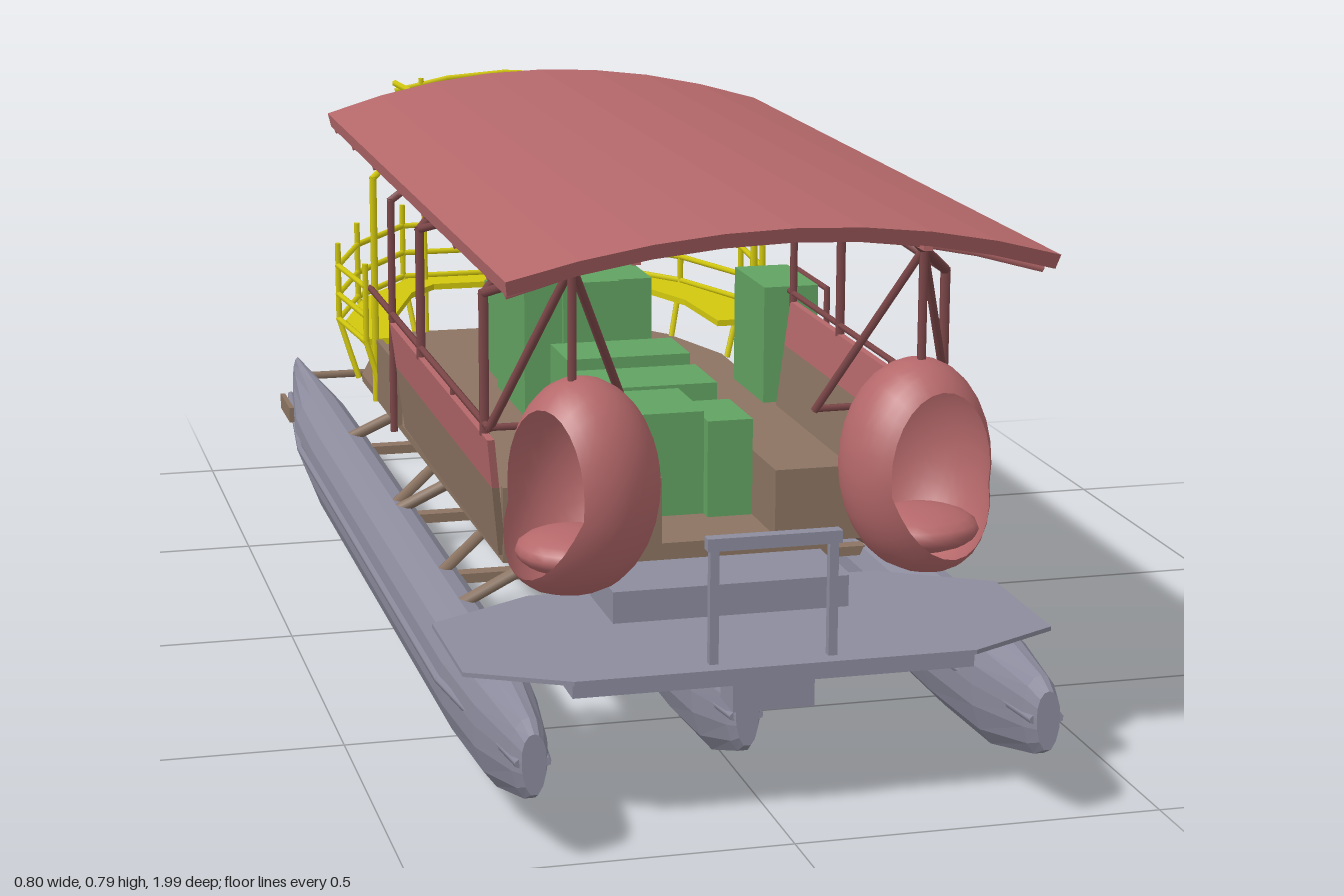
import * as THREE from 'three';

const RED = 0xb5686a, DARK = 0x7d4749, BROWN = 0x8c7462, YELLOW = 0xd2c80e, GREEN = 0x62a262, GREY = 0x8c8c9e;

export function createModel() {
  const root = new THREE.Group();
  const V = (p) => new THREE.Vector3(...p);
  const mats = {};
  const mat = (color, flat = true) => (mats[color + '' + flat] ??=
    new THREE.MeshStandardMaterial({ color, flatShading: flat, side: THREE.DoubleSide }));

  function add(name, geo, color, parent = root, flat = true) {
    const m = new THREE.Mesh(geo, mat(color, flat));
    m.name = name;
    parent.add(m);
    return m;
  }
  // Box given by its min and max on each axis
  function box(name, x0, x1, y0, y1, z0, z1, color, parent) {
    const g = new THREE.BoxGeometry(x1 - x0, y1 - y0, z1 - z0);
    g.translate((x0 + x1) / 2, (y0 + y1) / 2, (z0 + z1) / 2);
    return add(name, g, color, parent);
  }
  // Chain of straight round bars
  function bars(name, pts, r, color, parent = root) {
    const group = new THREE.Group();
    group.name = name;
    for (let i = 1; i < pts.length; i++) {
      const a = V(pts[i - 1]), d = V(pts[i]).sub(a);
      const m = add(name + 'Bar', new THREE.CylinderGeometry(r, r, d.length() + r, 6), color, group, false);
      m.position.copy(a).addScaledVector(d, 0.5);
      m.quaternion.setFromUnitVectors(new THREE.Vector3(0, 1, 0), d.normalize());
    }
    parent.add(group);
    return group;
  }
  // Horizontal plate from an [x, z] outline
  function slab(name, pts, yTop, thick, color) {
    const shape = new THREE.Shape(pts.map((p) => new THREE.Vector2(...p)));
    const g = new THREE.ExtrudeGeometry(shape, { depth: thick, bevelEnabled: false });
    g.rotateX(Math.PI / 2).translate(0, yTop, 0);
    return add(name, g, color);
  }
  const mirror = (pts) => [...pts, ...pts.slice().reverse().map(([x, z]) => [-x, z])];

  // Pontoon hulls: a rounded keel section lofted through stations [z, halfWidth, bottom, top]
  function hullGeometry() {
    const stations = [[1, 0.016, 0.1, 0.18], [0.97, 0.024, 0.085, 0.192], [0.83, 0.043, 0.05, 0.208], [0.65, 0.052, 0.045, 0.21],
      [-0.5, 0.052, 0.045, 0.21], [-0.7, 0.048, 0.06, 0.21], [-0.92, 0.02, 0.08, 0.21], [-0.99, 0.01, 0.085, 0.21]];
    const half = [[0.3, 0], [0.7, 0.14], [0.96, 0.36], [1, 0.55], [0.96, 0.72], [0.75, 0.87], [0.4, 0.97]];
    const ring = [...half, [0, 1], ...half.slice().reverse().map(([x, y]) => [-x, y])];
    const n = ring.length, pos = [], idx = [];
    stations.forEach(([z, w, b, t], s) => ring.forEach(([x, y], i) => {
      pos.push(x * w, b + y * (t - b), z);
      const j = (i + 1) % n;
      if (s) idx.push((s - 1) * n + i, s * n + i, s * n + j, (s - 1) * n + i, s * n + j, (s - 1) * n + j);
    }));
    const last = (stations.length - 1) * n;
    for (let i = 1; i < n - 1; i++) idx.push(0, i, i + 1, last, last + i + 1, last + i);
    const g = new THREE.BufferGeometry();
    g.setAttribute('position', new THREE.Float32BufferAttribute(pos, 3));
    g.setIndex(idx);
    g.computeVertexNormals();
    return g;
  }
  for (const [name, x, y, z, sz] of [['leftHull', 0.34, 0, 0, 1], ['rightHull', -0.34, 0, 0, 1], ['centreHull', 0, -0.042, 0.03, 0.75]]) {
    const hull = new THREE.Group();
    hull.name = name;
    hull.position.set(x, y, z);
    hull.scale.z = sz;
    root.add(hull);
    add('hullShell', hullGeometry(), GREY, hull);
    for (const s of [-1, 1])
      bars('rubRail', [[0.018 * s, 0.14, 0.99], [0.054 * s, 0.14, 0.65], [0.054 * s, 0.14, -0.6], [0.014 * s, 0.14, -0.99]], 0.006, GREY, hull);
  }

  // Front deck with step, locker and handrail
  slab('frontDeck', mirror([[0.27, 0.92], [0.4, 0.85], [0.4, 0.64], [0.25, 0.55]]), 0.216, 0.006, GREY);
  box('deckBeam', -0.27, 0.27, 0.19, 0.212, 0.58, 0.91, GREY);
  box('bowStep', -0.055, 0.055, 0.15, 0.19, 0.84, 0.9, GREY);
  box('deckLocker', -0.165, 0.165, 0.215, 0.26, 0.57, 0.7, GREY);
  for (const s of [-1, 1]) box('deckRailPost', 0.08 * s - 0.006, 0.08 * s + 0.006, 0.215, 0.38, 0.885, 0.897, GREY);
  box('deckRailTop', -0.09, 0.09, 0.368, 0.385, 0.882, 0.9, GREY);

  // Floor and the frame that carries it
  slab('floor', mirror([[0.3, 0.63], [0.31, -0.45], [0.26, -0.62], [0.17, -0.745]]), 0.302, 0.012, BROWN);
  box('underFrame', -0.2, 0.2, 0.22, 0.292, -0.38, 0.52, BROWN);
  for (const z of [0.55, 0.34, 0.02, -0.4]) box('crossBeam', -0.32, 0.32, 0.178, 0.192, z - 0.012, z + 0.012, BROWN);
  bars('sternTie', [[-0.34, 0.185, -0.945], [0.34, 0.185, -0.945]], 0.007, BROWN);
  for (const s of [-1, 1]) {
    for (const [zt, zb] of [[0.57, 0.52], [0.3, 0.37], [0.1, 0.03], [-0.08, 0], [-0.33, -0.42]])
      bars('floorStrut', [[0.2 * s, 0.292, zt], [0.335 * s, 0.203, zb]], 0.009, BROWN);
    box('hullPlate', 0.388 * s - 0.004, 0.388 * s + 0.004, 0.152, 0.178, -0.85, -0.74, BROWN);
  }

  // Flared side walls with raked bow ends
  function wall(name, s, y0, y1, color) {
    const w = box(name, -0.005, 0.005, y0, y1, -0.08, 0.625, color);
    const p = w.geometry.attributes.position;
    for (let i = 0; i < p.count; i++) {
      const up = p.getY(i) - 0.3;
      p.setX(i, s * (0.3 + up * 0.13) + p.getX(i));
      if (p.getZ(i) > 0) p.setZ(i, p.getZ(i) + up * 0.22);
    }
  }
  for (const s of [-1, 1]) {
    wall('lowerSideWall', s, 0.3, 0.4, BROWN);
    wall('upperSideWall', s, 0.4, 0.47, RED);
    const [a, b] = [0.08 * s, 0.3 * s].sort((p, q) => p - q);
    box('frontWall', a, b, 0.3, 0.395, 0.62, 0.632, BROWN);
    const [c, d] = [0.08 * s, 0.17 * s].sort((p, q) => p - q);
    box('bowLocker', c, d, 0.3, 0.395, 0.5, 0.62, BROWN);
    bars('sideRail', [[0.13 * s, 0.483, 0.65], [0.322 * s, 0.483, 0.645], [0.322 * s, 0.483, -0.28]], 0.005, DARK);
    for (const z of [0.62, 0.4, 0.16, -0.08]) bars('railPost', [[0.322 * s, 0.46, z], [0.322 * s, 0.483, z]], 0.004, DARK);
  }

  // Seats and chests along the middle, plus the one outboard on the left
  for (const [x0, x1, h, z0, z1] of [[-0.095, 0.015, 0.45, 0.36, 0.5], [0.015, 0.08, 0.44, 0.4, 0.52], [-0.1, 0.09, 0.44, 0.18, 0.3],
    [-0.1, 0.09, 0.45, 0.04, 0.15], [-0.11, -0.05, 0.515, -0.31, -0.1], [-0.05, 0.04, 0.515, -0.29, -0.09],
    [0.04, 0.095, 0.515, -0.31, -0.1], [-0.1, 0.1, 0.45, -0.455, -0.33], [0.28, 0.369, 0.49, -0.27, -0.1]])
    box('chest', x0, x1, 0.302, h, z0, z1, GREEN);
  box('gangway', 0.37, 0.386, 0.25, 0.4, -0.265, -0.09, BROWN);
  bars('gangwayFrame', [[0.384, 0.4, -0.1], [0.384, 0.483, -0.1], [0.384, 0.483, -0.265], [0.384, 0.4, -0.265]], 0.005, DARK);
  box('rightSidePanel', -0.315, -0.305, 0.3, 0.4, -0.27, -0.1, BROWN);

  // Stern bench and rails
  slab('sternBench', [[0.33, -0.3], [0.335, -0.45], [0.28, -0.61], [0.175, -0.76], [-0.175, -0.76], [-0.28, -0.61], [-0.335, -0.45],
    [-0.33, -0.3], [-0.26, -0.3], [-0.25, -0.47], [-0.19, -0.64], [-0.14, -0.7], [0.14, -0.7], [0.19, -0.64], [0.25, -0.47], [0.26, -0.3]], 0.395, 0.01, YELLOW);
  const rail = mirror([[0.33, -0.28], [0.345, -0.46], [0.285, -0.63], [0.18, -0.78]]);
  for (const y of [0.395, 0.437, 0.485]) bars('sternRail', rail.map(([x, z]) => [x, y, z]), 0.005, YELLOW);
  for (const [x, z] of rail) bars('sternPost', [[x * 0.92, 0.3, z * 0.96], [x, 0.395, z], [x, 0.52, z]], 0.005, YELLOW);

  // Arched canopy with ends raked inwards below
  const arch = (x) => 0.797 - 0.43 * x * x;
  const xs = Array.from({ length: 9 }, (_, i) => -0.36 + i * 0.09);
  const section = new THREE.Shape([...xs.map((x) => new THREE.Vector2(x, arch(x))),
    ...xs.slice().reverse().map((x) => new THREE.Vector2(x * 0.99, arch(x) - 0.02))]);
  const roof = new THREE.ExtrudeGeometry(section, { depth: 1.44, bevelEnabled: false });
  const rp = roof.attributes.position;
  for (let i = 0; i < rp.count; i++) {
    const front = rp.getZ(i) > 0.7, drop = (0.797 - rp.getY(i)) * 0.5;
    rp.setZ(i, front ? 0.97 - drop : -0.47 + drop);
  }
  add('canopy', roof, RED);
  for (const z of [0.9, 0.79, 0.57, 0.35, 0.16, -0.06, -0.25, -0.42])
    bars('canopyRib', xs.map((x) => [x * 0.97, arch(x) - 0.024, z]), 0.006, RED);

  for (const s of [-1, 1]) {
    box('canopyBeam', 0.19 * s - 0.006, 0.19 * s + 0.006, 0.75, 0.77, -0.44, 0.92, RED);
    // Canopy posts with forked tops
    bars('canopyPost', [[0.322 * s, 0.47, 0.62], [0.322 * s, 0.66, 0.62], [0.19 * s, 0.757, 0.85]], 0.007, DARK);
    bars('canopyPost', [[0.322 * s, 0.47, 0.16], [0.322 * s, 0.66, 0.16], [0.19 * s, 0.757, 0]], 0.007, DARK);
    bars('canopyBrace', [[0.322 * s, 0.66, 0.62], [0.19 * s, 0.757, 0.45], [0.322 * s, 0.66, 0.16]], 0.006, DARK);
    bars('canopyPost', [[0.322 * s, 0.3, -0.08], [0.322 * s, 0.66, -0.08], [0.19 * s, 0.757, -0.08]], 0.006, DARK);
    // Chair hanger
    const tip = [0.237 * s, 0.722, 0.77];
    for (const foot of [[0.237 * s, 0.57, 0.77], [0.32 * s, 0.483, 0.645], [0.13 * s, 0.483, 0.65]])
      bars('chairHanger', [tip, foot], 0.006, DARK);
    // Stern canopy frame
    bars('sternFrame', [[0.315 * s, 0.3, -0.28], [0.315 * s, 0.66, -0.28], [0.19 * s, 0.757, -0.37], [0.19 * s, 0.738, -0.77]], 0.006, YELLOW);
    bars('sternFramePost', [[0.147 * s, 0.3, -0.74], [0.147 * s, 0.745, -0.76]], 0.005, YELLOW);
  }
  for (const z of [-0.45, -0.5, -0.57, -0.65, -0.76])
    bars('sternFrameArch', [-0.19, -0.1, 0, 0.1, 0.19].map((x) => [x, 0.765 + (z + 0.45) * 0.04 - x * x * 0.7, z]), 0.005, YELLOW);

  // Hanging egg chairs: open shells with a forward seat lip
  for (const [name, x, yaw] of [['leftChair', 0.235, 0.25], ['rightChair', -0.225, -1.1]]) {
    const chair = new THREE.Group();
    chair.name = name;
    chair.position.set(x, 0.43, 0.765);
    chair.rotation.y = yaw;
    root.add(chair);
    const shell = new THREE.SphereGeometry(1, 28, 16, 0, Math.PI * 2, Math.PI * 0.27, Math.PI * 0.73).rotateX(Math.PI / 2);
    const p = shell.attributes.position;
    for (let i = 0; i < p.count; i++) {
      const y = p.getY(i), z = p.getZ(i);
      if (z > 0) p.setZ(i, z * (y < -0.3 ? 1 + (-0.3 - y) * 0.9 : 0.85));
    }
    shell.scale(0.104, 0.145, 0.105);
    add('chairShell', shell, RED, chair, false);
    const seat = new THREE.SphereGeometry(1, 20, 10).scale(0.08, 0.03, 0.075).translate(0, -0.085, 0.012);
    add('chairCushion', seat, RED, chair, false);
  }
  return root;
}
